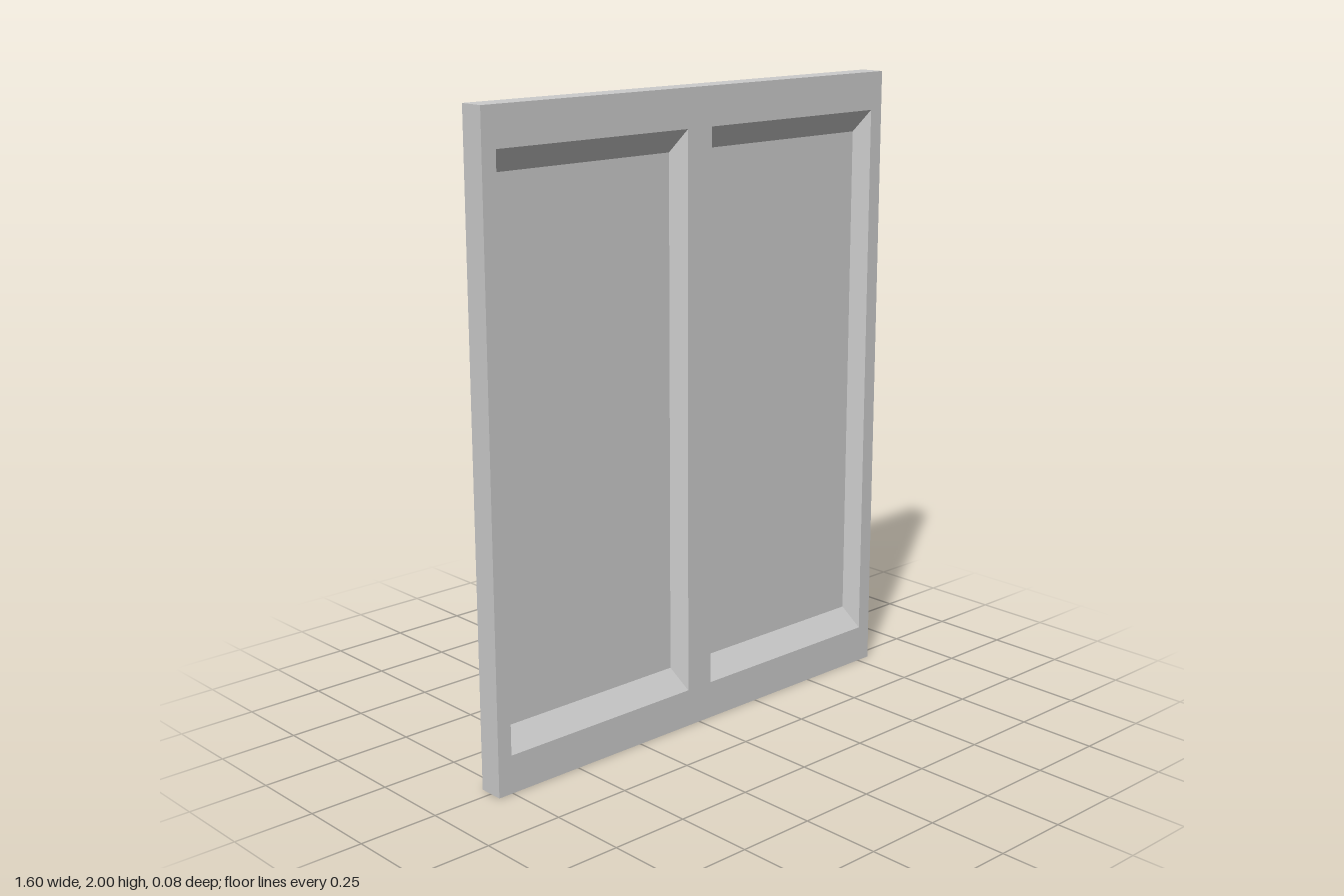
import * as THREE from 'three';

const FRONT = 0.04, BACK = -0.04, FLOOR = -0.01;
const material = new THREE.MeshStandardMaterial({ color: 0xcccccc, flatShading: true });

// Four corners of an upright rectangle, anticlockwise seen from the front
function rect(x0, x1, y0, y1, z) {
  return [[x0, y0], [x1, y0], [x1, y1], [x0, y1]].map(([x, y]) => new THREE.Vector3(x, y, z));
}

// Band of four flat walls joining rectangle a to rectangle b
function walls(a, b) {
  const points = [];
  for (let i = 0; i < 4; i++) {
    const j = (i + 1) % 4;
    points.push(a[i], a[j], b[j], a[i], b[j], b[i]);
  }
  const geometry = new THREE.BufferGeometry().setFromPoints(points);
  geometry.computeVertexNormals();
  return geometry;
}

// Flat face filling a rectangle, with optional rectangular openings
function face(corners, openings = []) {
  const to2D = (c) => c.map((p) => new THREE.Vector2(p.x, p.y));
  const shape = new THREE.Shape(to2D(corners));
  for (const o of openings) shape.holes.push(new THREE.Path(to2D(o).reverse()));
  return new THREE.ShapeGeometry(shape).translate(0, 0, corners[0].z);
}

export function createModel() {
  const group = new THREE.Group();
  group.name = 'panelledDoor';
  const add = (name, geometry) => {
    const mesh = new THREE.Mesh(geometry, material);
    mesh.name = name;
    group.add(mesh);
    return mesh;
  };

  const front = rect(-0.8, 0.8, 0, 2, FRONT);
  const back = rect(-0.8, 0.8, 0, 2, BACK);

  // Two recessed panels with bevelled surrounds, one each side of the middle rail
  const openings = [];
  for (const [side, cx] of [['right', -0.4], ['left', 0.4]]) {
    const opening = rect(cx - 0.352, cx + 0.352, 0.12, 1.88, FRONT);
    const floor = rect(cx - 0.322, cx + 0.322, 0.19, 1.81, FLOOR);
    openings.push(opening);
    add(side + 'PanelBevel', walls(opening, floor));
    add(side + 'Panel', face(floor));
  }

  // Frame front, outer edges and plain back
  add('frameFront', face(front, openings));
  add('outerEdges', walls(back, front));
  add('backFace', face(rect(-0.8, 0.8, 0, 2, -BACK)).rotateY(Math.PI));

  return group;
}
